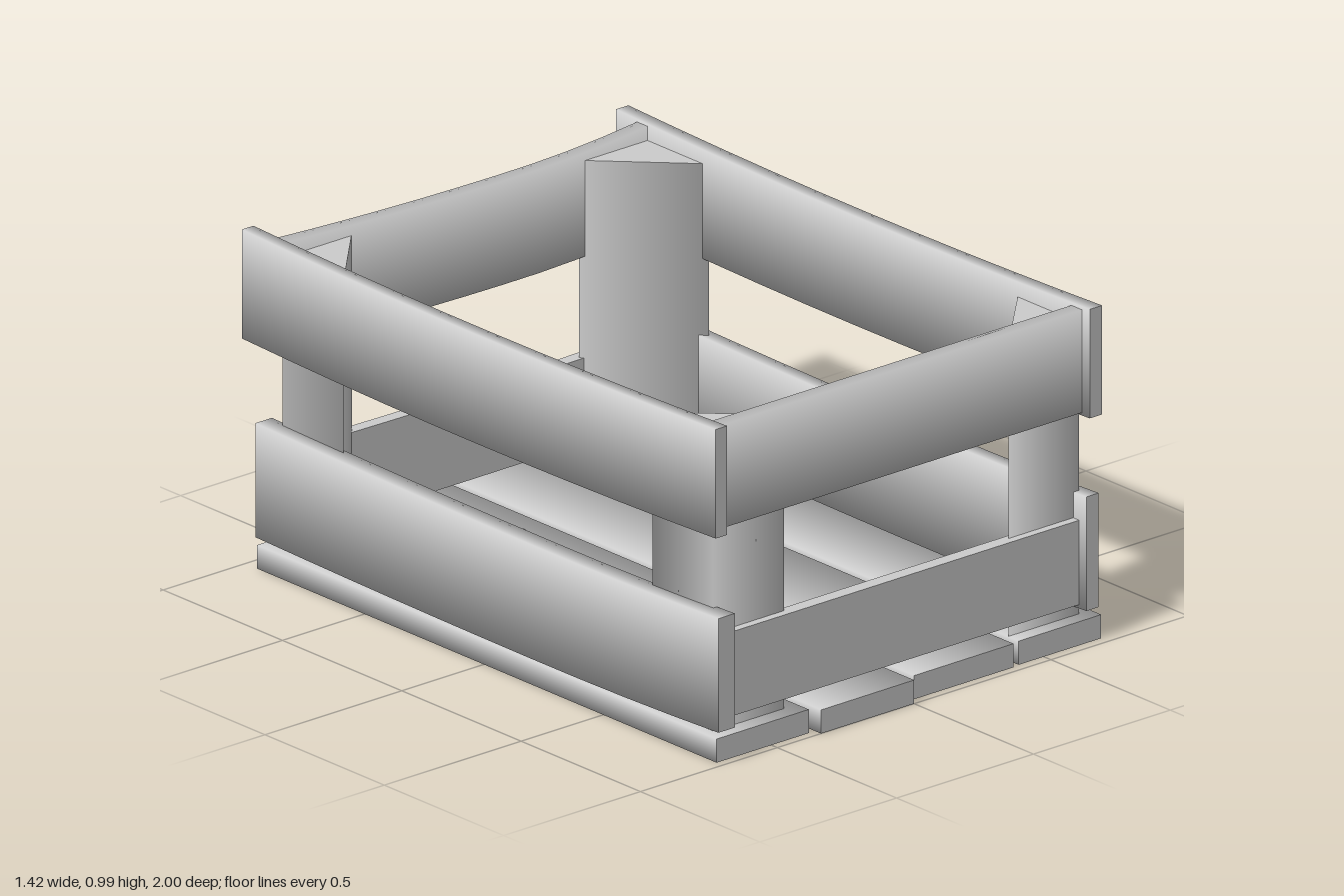
import * as THREE from 'three';

const wood = new THREE.MeshStandardMaterial({ color: 0xcccccc });
wood.name = 'plain grey';

// A board spanning min..max along 'x' or 'z'. Its long edges are shaded soft, its ends crisp.
// sag lowers the middle (deepest at peak); skew slants the back end of a slat.
function board(name, min, max, axis, { sag = 0, peak = 0, soft = true, skew = 0 } = {}) {
  const size = max.map((v, i) => v - min[i]);
  const mid = max.map((v, i) => (v + min[i]) / 2);
  const n = sag ? 10 : 1;
  const geo = new THREE.BoxGeometry(...size, axis === 'x' ? n : 1, 1, axis === 'z' ? n : 1);
  geo.translate(...mid);
  const a = axis === 'x' ? 0 : 2;
  const across = 2 - a;
  const pos = geo.attributes.position;
  const nor = geo.attributes.normal;
  for (let i = 0; i < pos.count; i++) {
    const p = [pos.getX(i), pos.getY(i), pos.getZ(i)];
    const isEnd = Math.abs(nor.getComponent(i, a)) > 0.5;
    if (soft && !isEnd) {
      const d = [0, Math.sign(p[1] - mid[1]) * Math.SQRT1_2, 0];
      d[across] = Math.sign(p[across] - mid[across]) * Math.SQRT1_2;
      nor.setXYZ(i, ...d);
    }
    const reach = p[a] > peak ? max[a] - peak : peak - min[a];
    const t = (p[a] - peak) / reach;
    pos.setY(i, p[1] - sag * (1 - t * t));
    if (skew && p[2] < mid[2]) pos.setZ(i, p[2] + skew * Math.sign(p[0] - mid[0]));
  }
  const mesh = new THREE.Mesh(geo, wood);
  mesh.name = name;
  return mesh;
}

// Three-sided corner post: right angle at (x, z), legs running inward to xIn and zIn.
function post(name, x, z, xIn, zIn, y0, y1) {
  const A = [x, z];
  let B = [xIn, z];
  let C = [x, zIn];
  const cx = (2 * x + xIn) / 3;
  const cz = (2 * z + zIn) / 3;
  const det = (b, c) => (b[0] - c[0]) * (A[1] - cz) - (A[0] - cx) * (b[1] - c[1]);
  if (det(B, C) < 0) [B, C] = [C, B];
  const k = Math.sqrt(3);
  const geo = new THREE.CylinderGeometry(1, 1, y1 - y0, 3);
  geo.applyMatrix4(new THREE.Matrix4().set(
    (B[0] - C[0]) / k, 0, A[0] - cx, cx,
    0, 1, 0, (y0 + y1) / 2,
    (B[1] - C[1]) / k, 0, A[1] - cz, cz,
    0, 0, 0, 1));
  const mesh = new THREE.Mesh(geo, wood);
  mesh.name = name;
  return mesh;
}

export function createModel() {
  const crate = new THREE.Group();
  crate.name = 'crate';

  // Floor slats: x range, z range, slant of the back end
  [
    [-0.7, -0.363, -0.95, 0.975, 0],
    [-0.34, 0, -0.95, 1, 0.01],
    [0.022, 0.385, -1, 0.975, 0],
    [0.408, 0.71, -0.95, 0.97, -0.008],
  ].forEach(([x0, x1, z0, z1, skew], i) => {
    crate.add(board(`floorSlat${i + 1}`, [x0, 0, z0], [x1, 0.07, z1], 'z', { skew }));
  });

  // Corner posts
  for (const [side, s] of [['Left', 1], ['Right', -1]]) {
    crate.add(post(`frontPost${side}`, s * 0.668, 0.925, s * 0.41, 0.67, 0.07, 0.94));
    crate.add(post(`backPost${side}`, s * 0.668, -0.88, s * 0.415, -0.625, 0.07, 0.94));
  }

  // Long side boards
  const low = { sag: 0.015, peak: 0.3 };
  const high = { sag: 0.018, peak: -0.05 };
  crate.add(board('lowerSideRight', [-0.715, 0.1, -0.94], [-0.655, 0.438, 1], 'z', low));
  crate.add(board('lowerSideLeft', [0.647, 0.1, -0.94], [0.692, 0.438, 0.98], 'z', low));
  crate.add(board('upperSideRight', [-0.712, 0.67, -1], [-0.67, 0.993, 0.985], 'z', high));
  crate.add(board('upperSideLeft', [0.655, 0.67, -1], [0.7, 0.993, 0.985], 'z', high));

  // End boards
  crate.add(board('lowerFront', [-0.66, 0.11, 0.908], [0.65, 0.36, 0.95], 'x', { soft: false }));
  crate.add(board('lowerBack', [-0.66, 0.11, -0.91], [0.65, 0.36, -0.87], 'x',
    { soft: false, sag: 0.008 }));
  crate.add(board('upperFront', [-0.67, 0.677, 0.908], [0.657, 0.982, 0.952], 'x'));
  crate.add(board('upperBack', [-0.67, 0.675, -0.912], [0.657, 0.982, -0.868], 'x',
    { sag: 0.025, peak: 0.2 }));

  return crate;
}
